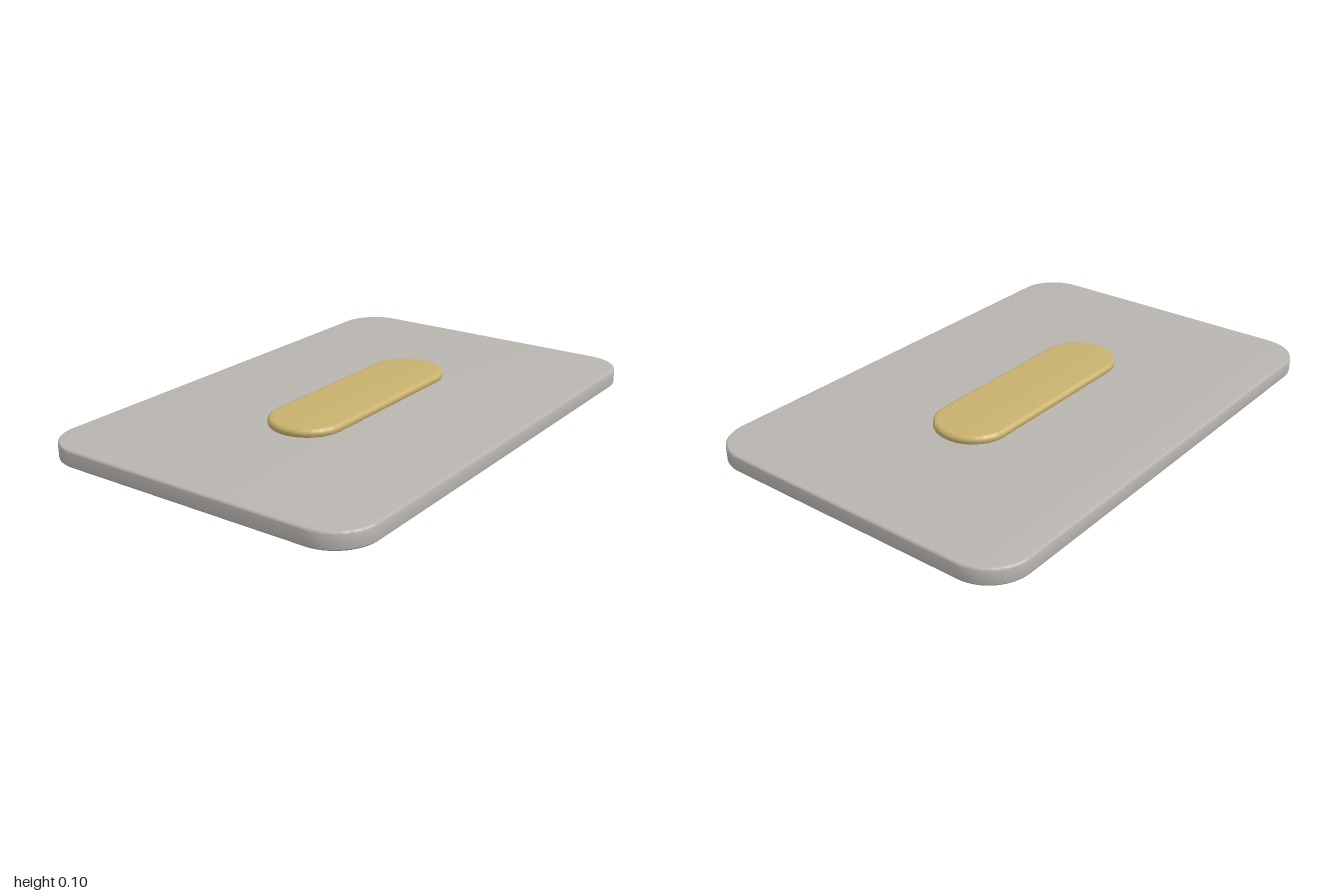
import * as THREE from 'three';
import { toCreasedNormals } from 'three/addons/utils/BufferGeometryUtils.js';

function material(name, color) {
  const m = new THREE.MeshStandardMaterial({ color });
  m.name = name;
  return m;
}

// Rounded rectangle outline
function roundedRect(w, h, r) {
  const s = new THREE.Shape();
  s.absarc(w - r, h - r, r, 0, Math.PI / 2);
  s.absarc(-w + r, h - r, r, Math.PI / 2, Math.PI);
  s.absarc(-w + r, -h + r, r, Math.PI, Math.PI * 1.5);
  s.absarc(w - r, -h + r, r, Math.PI * 1.5, Math.PI * 2);
  s.closePath();
  return s;
}

// Flat-lying slab with softened edges between two heights
function slab(shape, y0, y1, bevel) {
  const g = new THREE.ExtrudeGeometry(shape, {
    depth: y1 - y0 - 2 * bevel, bevelThickness: bevel, bevelSize: bevel,
    bevelOffset: -bevel, bevelSegments: 3, curveSegments: 10,
  });
  g.rotateX(-Math.PI / 2);
  g.translate(0, y0 + bevel, 0);
  return toCreasedNormals(g, 0.6);
}

// Painted face on the underside, outline given as [x, z]
function decal(shape, y) {
  return new THREE.ShapeGeometry(shape, 16).rotateX(Math.PI / 2).translate(0, y, 0);
}
const polygon = (pts) => new THREE.Shape(pts.map(([x, z]) => new THREE.Vector2(x, z)));
function oval(x, z, rx, rz) {
  const s = new THREE.Shape();
  s.absellipse(x, z, rx, rz, 0, Math.PI * 2);
  return s;
}

export function createModel() {
  const group = new THREE.Group();
  const stone = material('warm grey', 0xb8b4af);
  const gold = material('gold', 0xc8b16e);
  const brown = material('ribbon brown', 0x8c6146);
  const pink = material('petal pink', 0xd58a98);
  const pale = material('pale pink', 0xdcc4bf);
  const add = (name, geometry, mat) => {
    const mesh = new THREE.Mesh(geometry, mat);
    mesh.name = name;
    group.add(mesh);
  };

  // Base plate and raised pad
  add('plate', slab(roundedRect(1, 0.663, 0.16), 0.006, 0.07, 0.008), stone);
  const pad = slab(roundedRect(0.47, 0.148, 0.146), 0.066, 0.1, 0.014);
  add('pad', pad, gold);

  // Swallow-tailed ribbon under the plate, worn at one end
  add('ribbon', decal(polygon([
    [0.61, 0.115], [0.52, 0.01], [0.43, -0.03], [0.36, -0.085], [0.2, -0.112],
    [-0.61, -0.115], [-0.515, 0], [-0.61, 0.115],
  ]), 0.004), brown);
  add('ribbonScrap', decal(polygon([[0.53, -0.07], [0.5, -0.09], [0.4, -0.09], [0.43, -0.06]]), 0.004), brown);

  // Leaves fanning from the flowers
  const leaves = [
    [[0.07, -0.06], [0.06, -0.18], [0.02, -0.29], [-0.03, -0.2], [-0.05, -0.06]],
    [[-0.03, -0.06], [-0.1, -0.17], [-0.2, -0.2], [-0.18, -0.11], [-0.1, -0.02]],
    [[-0.05, 0.04], [-0.08, 0.09], [-0.13, 0.06], [-0.09, 0.01]],
  ];
  leaves.forEach((pts) => add('leaf', decal(polygon(pts), 0.002), gold));

  // Flower heads
  [[0.087, -0.047, 0.068, 0.065], [-0.123, -0.05, 0.07, 0.065], [0.01, 0.0, 0.05, 0.045]]
    .forEach((f) => add('flower', decal(oval(...f), 0), pink));
  add('paleFlower', decal(oval(0.08, 0.045, 0.035, 0.035), 0), pale);

  return group;
}
